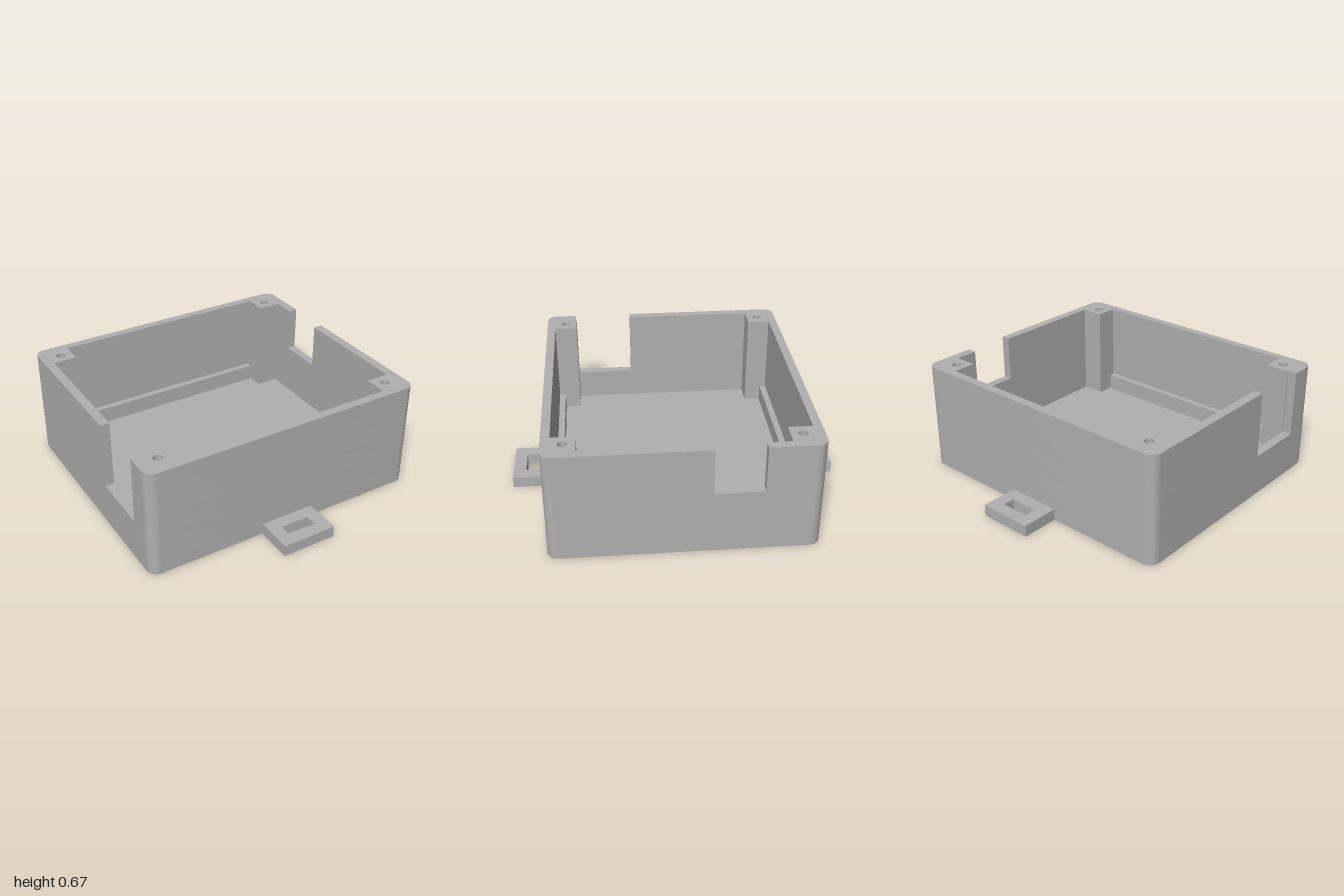
import * as THREE from 'three';
import { toCreasedNormals } from 'three/addons/utils/BufferGeometryUtils.js';

const X = 0.885, Z = 0.772, R = 0.063;      // outer half sizes and corner radius
const XI = 0.83, ZI = 0.72;                 // inner wall faces
const PX = 0.685, PZ = 0.58;                // inner faces of the corner posts
const FLOOR = 0.07, LEFT_SILL = 0.26, RIGHT_SILL = 0.388, TOP = 0.67;

export function createModel() {
  const model = new THREE.Group();
  model.name = 'enclosure';
  const grey = new THREE.MeshStandardMaterial({ color: 0xb0b0b0 });
  grey.name = 'grey plastic';

  const add = (geometry, name, parent = model) => {
    const mesh = new THREE.Mesh(geometry, grey);
    mesh.name = name;
    parent.add(mesh);
    return mesh;
  };

  // Plan shapes use y = -z and are raised from y0 to y1
  const raise = (shape, y0, y1) => {
    const g = new THREE.ExtrudeGeometry(shape, { depth: y1 - y0, bevelEnabled: false, curveSegments: 12 });
    g.rotateX(-Math.PI / 2).translate(0, y0, 0);
    return toCreasedNormals(g, 0.5);
  };
  const rect = (target, x0, x1, z0, z1) => {
    target.moveTo(x0, -z0).lineTo(x0, -z1).lineTo(x1, -z1).lineTo(x1, -z0).closePath();
    return target;
  };

  // End wall with two corner posts and side arms reaching back to zPlus / zMinus
  const endWall = (zPlus, zMinus, y0, y1, screwHoles) => {
    const s = new THREE.Shape();
    s.moveTo(X, -zPlus).lineTo(X, -(Z - R));
    s.absarc(X - R, -(Z - R), R, 0, -Math.PI / 2, true);
    s.lineTo(-(X - R), -Z);
    s.absarc(-(X - R), -(Z - R), R, -Math.PI / 2, -Math.PI, true);
    s.lineTo(-X, -zMinus).lineTo(-XI, -zMinus);
    s.lineTo(-XI, -PZ).lineTo(-PX, -PZ).lineTo(-PX, -ZI);
    s.lineTo(PX, -ZI).lineTo(PX, -PZ).lineTo(XI, -PZ);
    s.lineTo(XI, -zPlus).closePath();
    if (screwHoles) {
      for (const side of [-1, 1]) {
        s.holes.push(new THREE.Path().absarc(side * 0.757, -0.65, 0.028, 0, Math.PI * 2));
      }
    }
    return raise(s, y0, y1);
  };

  // Floor
  const base = new THREE.Shape();
  base.absarc(X - R, Z - R, R, 0, Math.PI / 2);
  base.absarc(-(X - R), Z - R, R, Math.PI / 2, Math.PI);
  base.absarc(-(X - R), -(Z - R), R, Math.PI, Math.PI * 1.5);
  base.absarc(X - R, -(Z - R), R, Math.PI * 1.5, Math.PI * 2);
  base.closePath();
  add(raise(base, 0, FLOOR), 'floor');

  // Walls in three levels: closed, left notch, both notches with screw holes
  const leftNotch = [0.217, 0.587], rightNotch = [-0.44, -0.155];
  const levels = [
    { name: 'lower', y: [FLOOR, LEFT_SILL], left: [0, 0], right: [0, 0] },
    { name: 'middle', y: [LEFT_SILL, RIGHT_SILL], left: leftNotch, right: [0, 0] },
    { name: 'upper', y: [RIGHT_SILL, TOP], left: leftNotch, right: rightNotch, holes: true },
  ];
  // left = the -x gap and right = the +x gap, as [rear z, front z]
  for (const { name, y, left, right, holes } of levels) {
    add(endWall(right[1], left[1], y[0], y[1], holes), name + 'FrontWall');
    const back = add(endWall(-left[0], -right[0], y[0], y[1], holes), name + 'BackWall');
    back.rotation.y = Math.PI;
  }

  // Mounting tab and inner ledge at each end
  for (const [name, turn] of [['front', 0], ['back', Math.PI]]) {
    const end = new THREE.Group();
    end.name = name + 'Fittings';
    end.rotation.y = turn;
    const tab = rect(new THREE.Shape(), -0.168, 0.168, Z, 1);
    tab.holes.push(rect(new THREE.Path(), -0.088, 0.088, 0.85, 0.922));
    add(raise(tab, 0, FLOOR), name + 'MountingTab', end);
    const ledge = rect(new THREE.Shape(), -0.677, 0.677, 0.68, ZI);
    add(raise(ledge, FLOOR, 0.175), name + 'InnerLedge', end);
    model.add(end);
  }
  return model;
}
